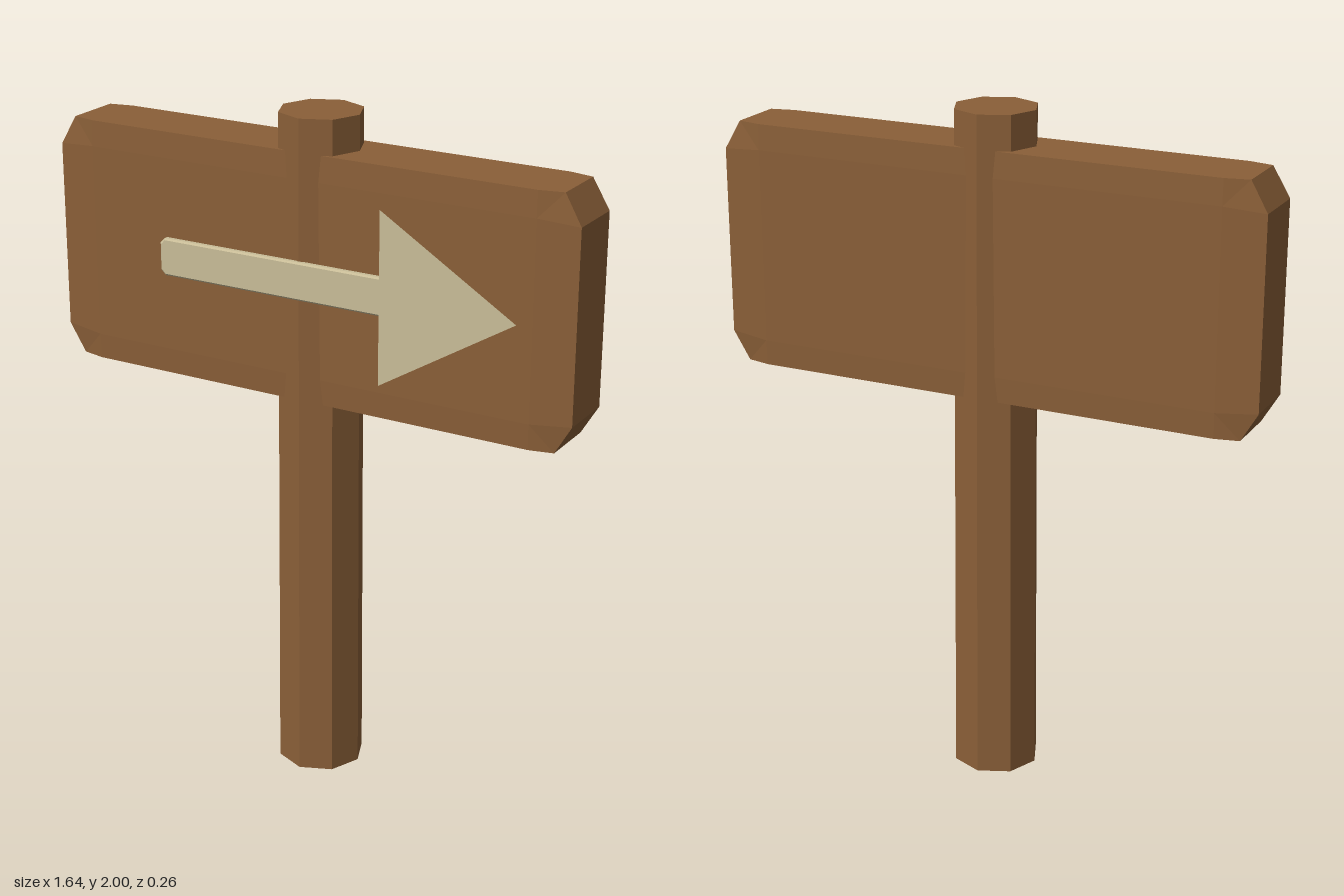
import * as THREE from 'three';

const wood = new THREE.MeshStandardMaterial({ color: 0x8a5f38 });
wood.name = 'wood';
const paint = new THREE.MeshStandardMaterial({ color: 0xc9bd98 });
paint.name = 'cream paint';

// Faceted normals baked into the geometry
function facet(geometry) {
  const flat = geometry.index ? geometry.toNonIndexed() : geometry;
  flat.computeVertexNormals();
  return flat;
}

function addMesh(group, name, geometry, material) {
  const mesh = new THREE.Mesh(geometry, material);
  mesh.name = name;
  group.add(mesh);
  return mesh;
}

// Board with cut corners, lofted through four 12-point rings from front to back
function boardGeometry() {
  const inner = [0.70, 0.285, 0.103];
  const corner = [[0.82, 0.275, 0.088], [0.77, 0.36, 0.085], [0.70, 0.36, 0.1]];
  const quadrants = [[1, 1], [-1, 1], [-1, -1], [1, -1]];
  const ring = (isInner, side) => quadrants.flatMap(([sx, sy]) => {
    const pts = sx * sy > 0 ? corner : [...corner].reverse();
    return pts.map((p) => {
      const [x, y, z] = isInner ? inner : p;
      return new THREE.Vector3(x * sx, y * sy, z * side);
    });
  });
  const rings = [ring(true, 1), ring(false, 1), ring(false, -1), ring(true, -1)];
  const points = [];
  const tri = (a, b, c) => {
    const area = b.clone().sub(a).cross(c.clone().sub(a)).length();
    if (area > 1e-7) points.push(a, b, c);
  };
  for (let r = 0; r < 3; r++) {
    for (let i = 0; i < 12; i++) {
      const j = (i + 1) % 12;
      tri(rings[r][i], rings[r + 1][i], rings[r + 1][j]);
      tri(rings[r][i], rings[r + 1][j], rings[r][j]);
    }
  }
  // Front and back panels
  const [f, b] = [rings[0], rings[3]];
  tri(f[0], f[3], f[6]);
  tri(f[0], f[6], f[9]);
  tri(b[0], b[6], b[3]);
  tri(b[0], b[9], b[6]);
  return facet(new THREE.BufferGeometry().setFromPoints(points));
}

// Arrow shaft with slightly cut corners and edges
function shaftGeometry() {
  const [w, h, c] = [0.4, 0.05, 0.012];
  const shape = new THREE.Shape([
    [w, -h + c], [w, h - c], [w - c, h], [-w + c, h],
    [-w, h - c], [-w, -h + c], [-w + c, -h], [w - c, -h],
  ].map(([x, y]) => new THREE.Vector2(x, y)));
  return new THREE.ExtrudeGeometry(shape, {
    depth: 0.012, bevelEnabled: true, bevelSegments: 1, bevelThickness: 0.004, bevelSize: 0.005,
  });
}

export function createModel() {
  const model = new THREE.Group();
  model.name = 'signpost';

  // Tapered eight-sided post
  const post = addMesh(model, 'post', facet(new THREE.CylinderGeometry(0.121, 0.129, 2, 8)), wood);
  post.position.set(0, 1, -0.008);

  const board = addMesh(model, 'board', boardGeometry(), wood);
  board.position.set(0, 1.54, -0.01);

  // Painted arrow
  const arrow = new THREE.Group();
  arrow.name = 'arrow';
  model.add(arrow);
  const shaft = addMesh(arrow, 'arrowShaft', shaftGeometry(), paint);
  shaft.position.set(-0.048, 1.545, 0.11);
  const headShape = new THREE.Shape([
    new THREE.Vector2(0.26, 1.29), new THREE.Vector2(0.67, 1.54), new THREE.Vector2(0.26, 1.79),
  ]);
  const head = addMesh(arrow, 'arrowHead', new THREE.ShapeGeometry(headShape), paint);
  head.position.z = 0.128;

  return model;
}
